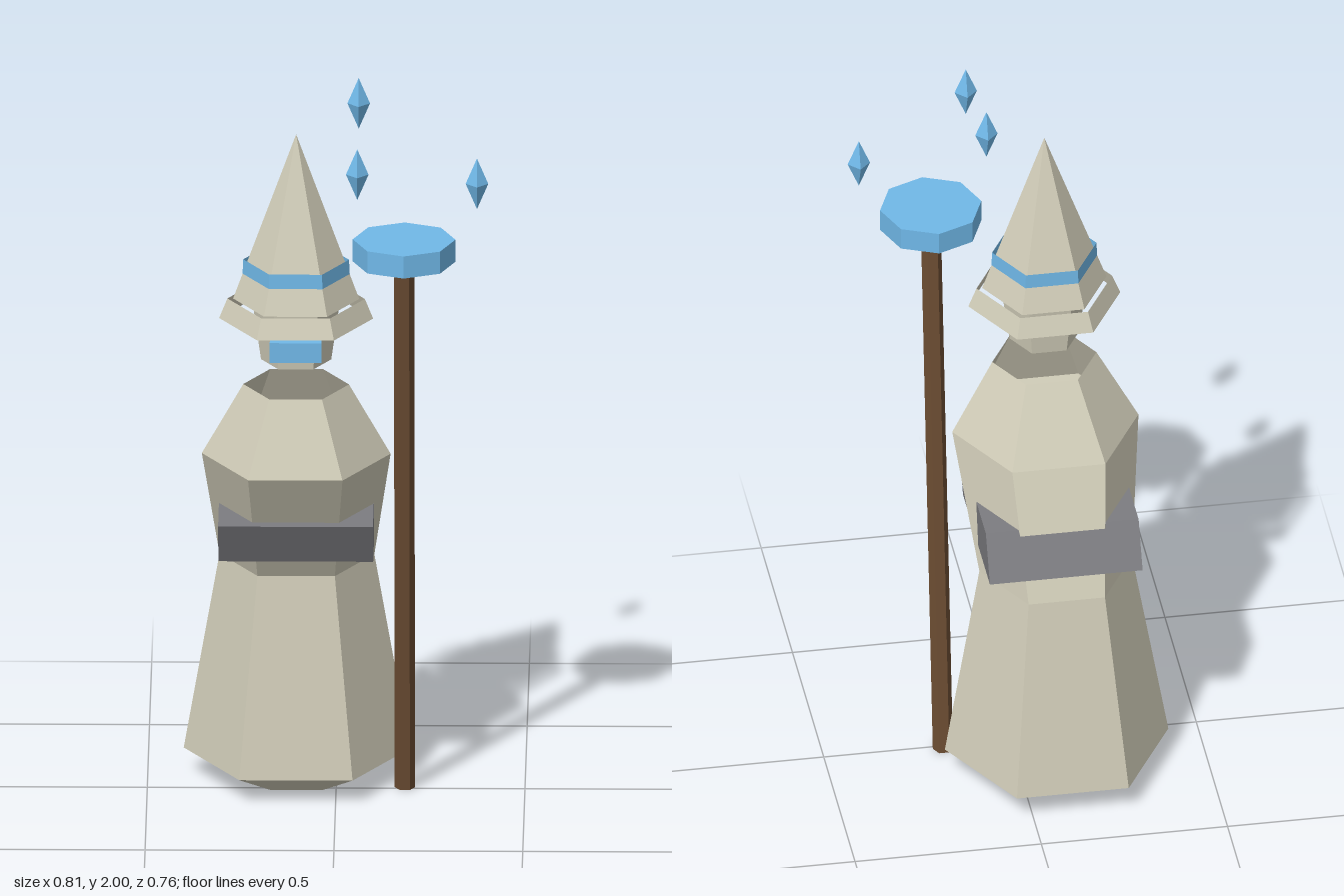
import * as THREE from 'three';

const material = (color) => new THREE.MeshStandardMaterial({ color, flatShading: true, side: THREE.DoubleSide });

// Open faceted tube through rings of [y, radius, z offset]; corners point along +x and -x.
function loft(rings, sides = 6) {
  const pos = [], index = [];
  for (const [y, r, z = 0] of rings) {
    for (let i = 0; i < sides; i++) {
      const a = (i / sides) * Math.PI * 2;
      pos.push(Math.cos(a) * r, y, z + Math.sin(a) * r);
    }
  }
  for (let k = 0; k < rings.length - 1; k++) {
    for (let i = 0; i < sides; i++) {
      const a = k * sides + i, b = k * sides + ((i + 1) % sides);
      index.push(a, a + sides, b, b, a + sides, b + sides);
    }
  }
  const geo = new THREE.BufferGeometry();
  geo.setAttribute('position', new THREE.Float32BufferAttribute(pos, 3));
  geo.setIndex(index);
  geo.computeVertexNormals();
  return geo;
}

export function createModel() {
  const model = new THREE.Group();
  model.name = 'robedFigureWithStaff';
  const cloth = material(0xd0ccb8), blue = material(0x70b8e8);
  const brown = material(0x6b4c32), grey = material(0x7c7c80);

  const add = (parent, name, geo, mat, x = 0, y = 0, z = 0) => {
    const mesh = new THREE.Mesh(geo, mat);
    mesh.name = name;
    mesh.position.set(x, y, z);
    parent.add(mesh);
    return mesh;
  };

  // Body: the upper half leans forward
  const body = new THREE.Group();
  body.name = 'body';
  body.position.x = -0.105;
  model.add(body);
  add(body, 'robe', loft([
    [0, 0.14, -0.105], [0.07, 0.3, -0.12], [0.62, 0.205, -0.105],
    [0.96, 0.25, 0.06], [1.16, 0.14, 0.077],
  ]), cloth);

  // Belt: a box sheared along the lean of the torso
  const belt = new THREE.BoxGeometry(0.41, 0.12, 0.43);
  belt.applyMatrix4(new THREE.Matrix4().set(1, 0, 0, 0, 0, 1, 0, 0, 0, 0.54, 1, 0, 0, 0, 0, 1));
  belt.computeVertexNormals();
  add(body, 'belt', belt, grey, 0, 0.75, -0.027);

  // Head and face cover
  const head = new THREE.Group();
  head.name = 'head';
  head.position.z = 0.077;
  body.add(head);
  add(head, 'face', loft([[1.23, 0.093], [1.4, 0.117]]), cloth);
  add(head, 'faceCover', new THREE.BoxGeometry(0.137, 0.055, 0.06), blue, 0, 1.293, 0.1);

  // Hat: loose sloping brim, pointed crown and band
  add(head, 'hatBrim', loft([[1.345, 0.204], [1.4, 0.182]]), cloth);
  add(head, 'hatCrown', loft([[1.4, 0.167], [1.86, 0.0005]]), cloth);
  add(head, 'hatBand', loft([[1.47, 0.142], [1.51, 0.14]]), blue);

  // Leaning staff with a hollow eight-sided head
  const staff = new THREE.Group();
  staff.name = 'staff';
  staff.position.x = 0.182;
  model.add(staff);
  add(staff, 'shaft', loft([[0, 0.027, -0.01], [1.6, 0.027, 0.188]]), brown);
  add(staff, 'staffHead', loft([[1.543, 0.136], [1.605, 0.136], [1.605, 0.0005]], 8), blue, 0, 0, 0.184);

  // Floating crystals around the staff head
  const crystal = new THREE.OctahedronGeometry(1).scale(0.03, 0.071, 0.03);
  for (const [x, y, z] of [[0.06, 1.929, 0.02], [0.06, 1.845, 0.35], [0.375, 1.762, 0.184]]) {
    add(model, 'crystal', crystal, blue, x, y, z);
  }
  return model;
}
